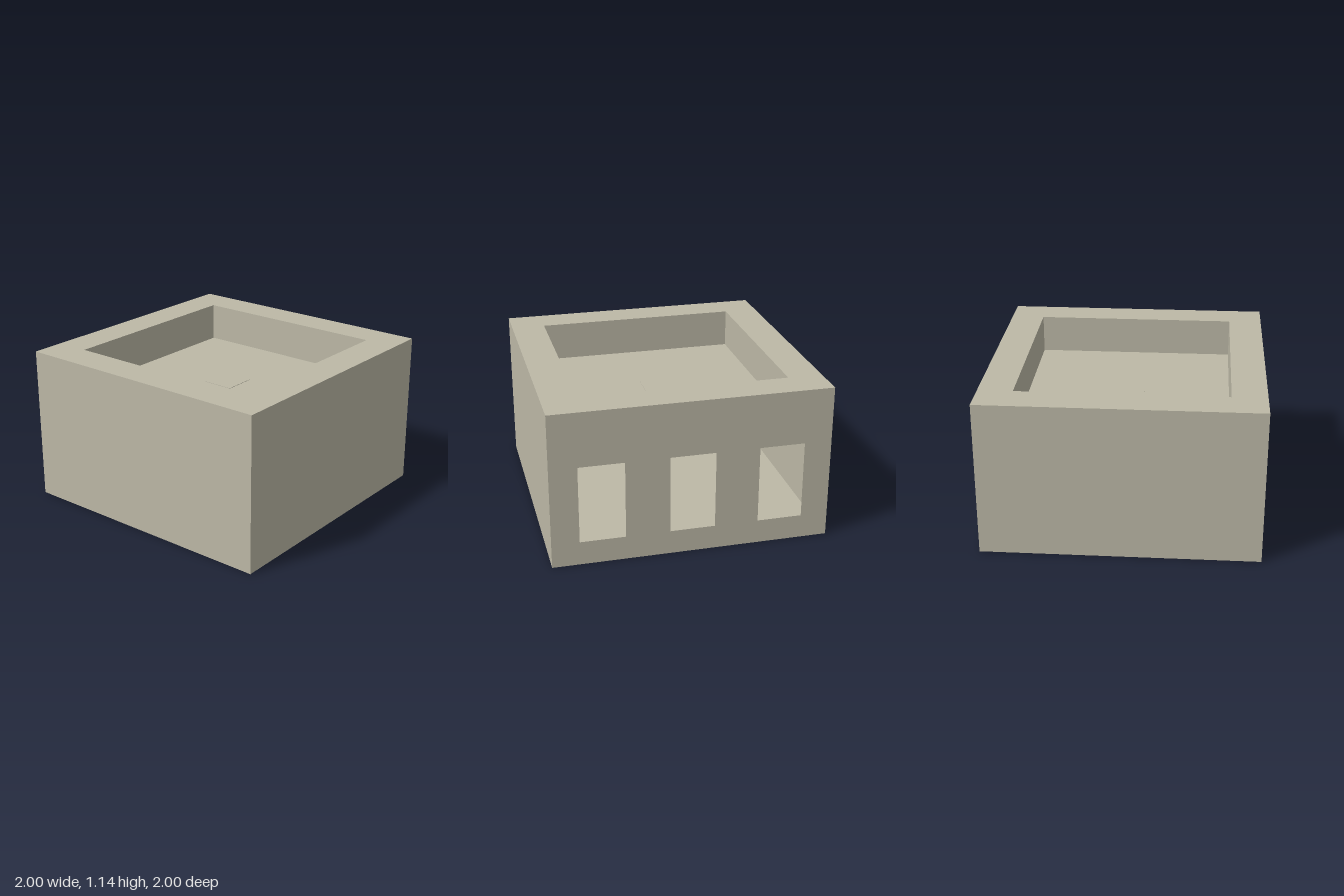
import * as THREE from 'three';

const H = 1.145;        // overall height
const PIT = 1.5;        // width of the sunken roof court
const PIT_Y = 0.86;     // level of the court floor

const material = new THREE.MeshStandardMaterial({
  color: 0xbcb8a6, side: THREE.DoubleSide, flatShading: true,
});

// Rectangle outline centred on (cx, cy)
function rect(Kind, cx, cy, w, h) {
  return new Kind([
    new THREE.Vector2(cx - w / 2, cy - h / 2),
    new THREE.Vector2(cx + w / 2, cy - h / 2),
    new THREE.Vector2(cx + w / 2, cy + h / 2),
    new THREE.Vector2(cx - w / 2, cy + h / 2),
  ]);
}

// Thin flat panel with optional holes
function panel(name, w, h, holes = []) {
  const shape = rect(THREE.Shape, 0, 0, w, h);
  shape.holes = holes;
  const mesh = new THREE.Mesh(new THREE.ShapeGeometry(shape), material);
  mesh.name = name;
  return mesh;
}

// Horizontal panel facing up (dir = 1) or down (dir = -1)
function slab(name, size, y, dir, holes) {
  const mesh = panel(name, size, size, holes);
  mesh.rotation.x = -dir * Math.PI / 2;
  mesh.position.y = y;
  return mesh;
}

export function createModel() {
  const model = new THREE.Group();
  model.name = 'courtBuilding';

  // Outer walls; the back one has three window openings
  const windows = [-0.64, 0, 0.64].map(x => rect(THREE.Path, x, 0.46 - H / 2, 0.325, 0.57));
  ['frontWall', 'leftWall', 'backWall', 'rightWall'].forEach((name, i) => {
    const wall = panel(name, 2, H, name === 'backWall' ? windows : []);
    const a = i * Math.PI / 2;
    wall.rotation.y = a;
    wall.position.set(Math.sin(a), H / 2, Math.cos(a));
    model.add(wall);
  });

  // Ground floor and roof rim around the court
  model.add(slab('groundFloor', 2, 0, -1));
  model.add(slab('roofRim', 2, H, 1, [rect(THREE.Path, 0, 0, PIT, PIT)]));

  // Sunken court: inward-facing walls and floor
  for (let i = 0; i < 4; i++) {
    const wall = panel('courtWall', PIT, H - PIT_Y);
    const a = i * Math.PI / 2;
    wall.rotation.y = a + Math.PI;
    wall.position.set(Math.sin(a) * PIT / 2, (H + PIT_Y) / 2, Math.cos(a) * PIT / 2);
    model.add(wall);
  }
  model.add(slab('courtFloor', PIT, PIT_Y, 1));

  // Small square plate almost flush with the court floor
  const plate = new THREE.Mesh(new THREE.BoxGeometry(0.24, 0.004, 0.24), material);
  plate.name = 'floorPlate';
  plate.position.y = PIT_Y + 0.001;
  model.add(plate);

  return model;
}
